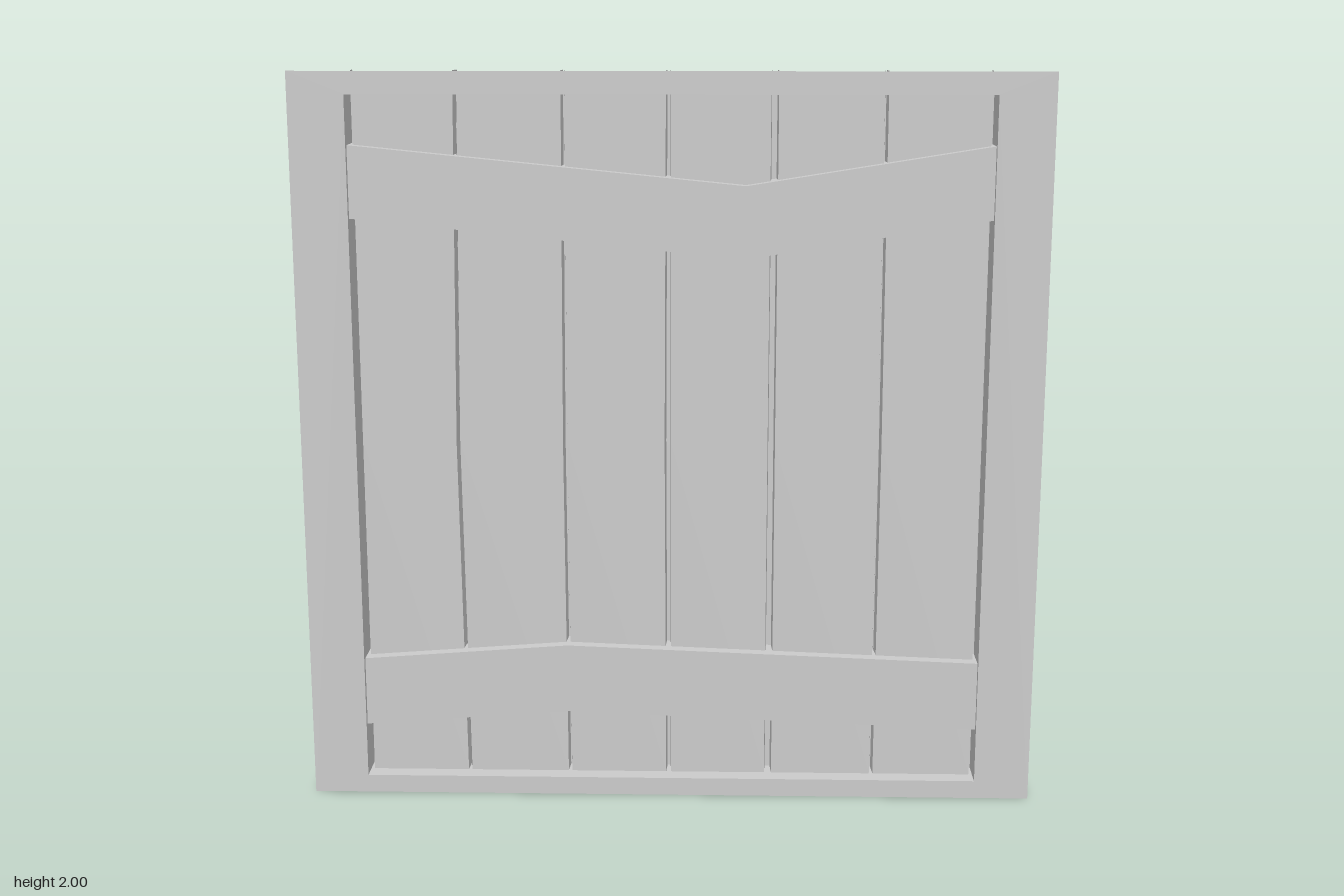
import * as THREE from 'three';

const material = new THREE.MeshStandardMaterial({ color: 0xcccccc, side: THREE.DoubleSide, flatShading: true });
const FRONT = 0.074, PLANK = 0.025, BACK = -0.025, REAR = -0.074;
const HALF = 0.85, LOW = 0.05, HIGH = 1.94;

function add(parent, name, geometry, z = 0) {
  const mesh = new THREE.Mesh(geometry, material);
  mesh.name = name;
  mesh.position.z = z;
  parent.add(mesh);
  return mesh;
}

const toVectors = (points) => points.map(([x, y]) => new THREE.Vector2(x, y));
const rectangle = (w, y0, y1) => [[-w, y0], [w, y0], [w, y1], [-w, y1]];
const face = (points) => new THREE.ShapeGeometry(new THREE.Shape(toVectors(points)));

// Open strip running along a polyline, spanning two depths
function strip(points, z0, z1, shift = 0) {
  const positions = [], index = [];
  points.forEach(([x, y], i) => {
    positions.push(x, y, z0, x + shift, y, z1);
    if (i) {
      const a = 2 * i - 2;
      index.push(a, a + 1, a + 2, a + 1, a + 3, a + 2);
    }
  });
  const g = new THREE.BufferGeometry();
  g.setAttribute('position', new THREE.Float32BufferAttribute(positions, 3));
  g.setIndex(index);
  g.computeVertexNormals();
  return g;
}

// Plank edge: slightly bowed line between two heights
const edge = (x, bow, y0, y1) => [[x, y0], [x + bow, 1], [x, y1]];

// Bent cross beam: front face, open top and bottom strips, end caps
function crossBeam(name, kinkX, endY, kinkY, height) {
  const beam = new THREE.Group();
  beam.name = name;
  const w = 0.853, z = 0.058;
  const bottom = [[-w, endY], [kinkX, kinkY], [w, endY]];
  const top = bottom.map(([x, y]) => [x, y + height]);
  add(beam, 'beamFace', face([...bottom, ...top.slice().reverse()]), z);
  add(beam, 'beamLowerEdge', strip(bottom, z, REAR));
  add(beam, 'beamUpperEdge', strip(top, z, REAR));
  for (const s of [-1, 1]) {
    add(beam, 'beamEnd', strip([[s * w, endY], [s * w, endY + height]], z, BACK + 0.02));
  }
  return beam;
}

export function createModel() {
  const model = new THREE.Group();
  model.name = 'plankedPanel';

  // Surrounding sheet with a rectangular opening
  const sheet = new THREE.Shape(toVectors(rectangle(1, 0, 2)));
  sheet.holes.push(new THREE.Path(toVectors(rectangle(HALF, LOW, HIGH))));
  add(model, 'surround', new THREE.ShapeGeometry(sheet), FRONT);

  // Recess walls and back
  const loop = rectangle(HALF, LOW, HIGH);
  loop.forEach((p, i) => add(model, 'recessWall', strip([p, loop[(i + 1) % 4]], FRONT, BACK)));
  add(model, 'recessBack', face(loop), BACK);

  // Planks: left edge, right edge, bow of each edge
  const planks = [
    [-0.84, -0.572, 0, -0.012],
    [-0.562, -0.288, -0.012, -0.005],
    [-0.278, -0.012, -0.003, -0.004],
    [0.002, 0.264, 0, 0],
    [0.284, 0.56, 0, 0.003],
    [0.57, 0.84, 0.003, 0],
  ];
  for (const [x0, x1, bow0, bow1] of planks) {
    const plank = new THREE.Group();
    plank.name = 'plank';
    const outline = [...edge(x0, bow0, LOW, HIGH), ...edge(x1, bow1, LOW, HIGH).reverse()].reverse();
    add(plank, 'plankFace', face(outline), PLANK);
    // Side walls run the full height and lean a little
    add(plank, 'plankSide', strip(edge(x0, bow0, 0, 2), PLANK, BACK, -0.003));
    add(plank, 'plankSide', strip(edge(x1, bow1, 0, 2), PLANK, BACK, 0.003));
    model.add(plank);
  }

  // Cross beams
  model.add(crossBeam('upperBeam', 0.2, 1.615, 1.51, 0.193));
  model.add(crossBeam('lowerBeam', -0.285, 0.197, 0.24, 0.193));
  return model;
}
